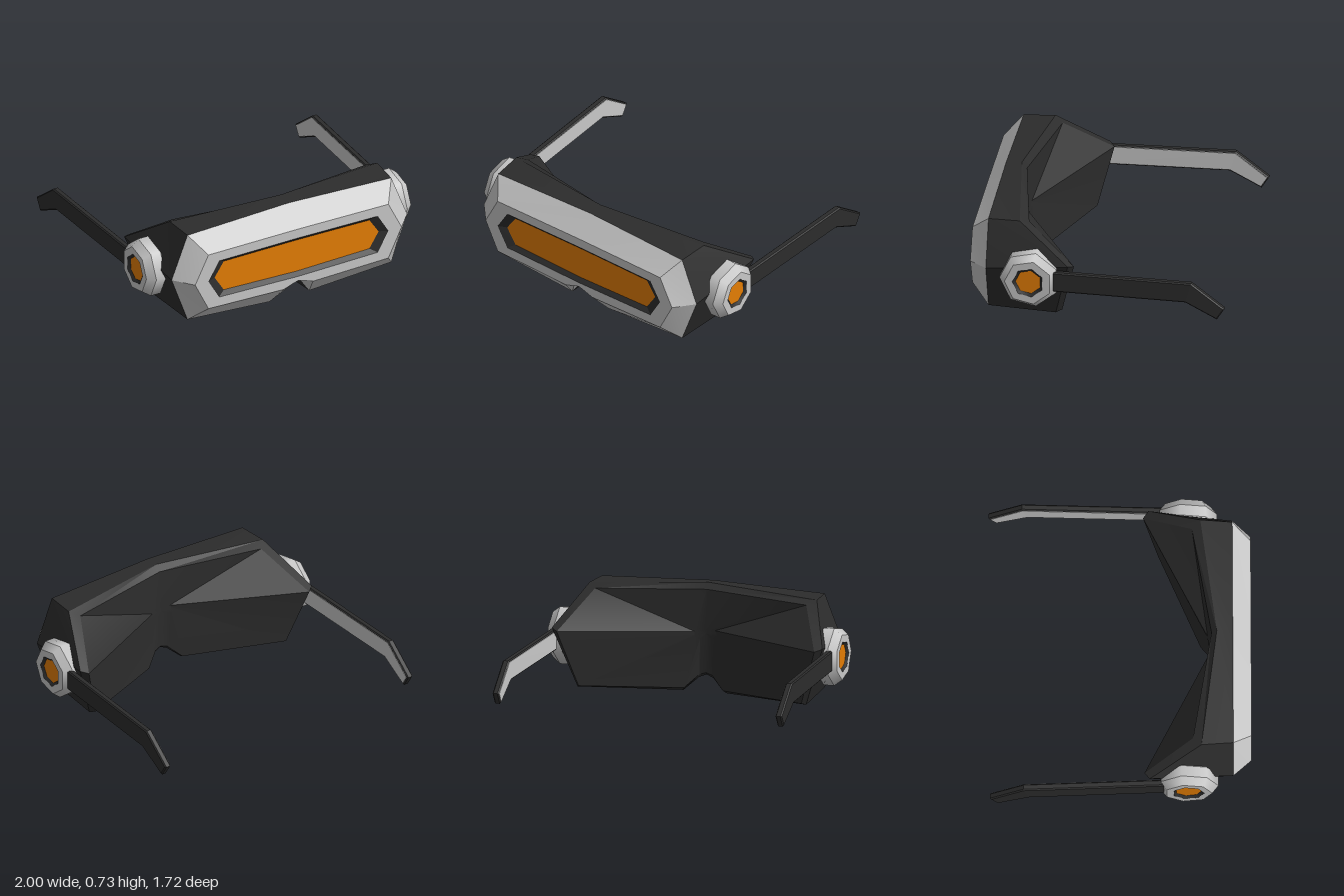
import * as THREE from 'three';
import { toCreasedNormals } from 'three/addons/utils/BufferGeometryUtils.js';

const grey = new THREE.MeshStandardMaterial({ color: 0xc8c8c8 });
grey.name = 'light grey';
const dark = new THREE.MeshStandardMaterial({ color: 0x2c2c2c });
dark.name = 'charcoal';
const orange = new THREE.MeshStandardMaterial({ color: 0xe47d04 });
orange.name = 'amber';

// Mirror a half outline (top centre, round +x, to bottom centre) into a full loop
const mirror = (half) => [
  ...half,
  ...half.slice(1, -1).reverse().map(([x, y, z]) => [-x, y, z]),
];
const atZ = (pts, z) => pts.map(([x, y]) => [x, y, z]);

// Skin through loops ordered front to back, optionally closed by a fan to one point
function loft(loops, tip) {
  const pos = [];
  const n = loops[0].length;
  for (let k = 0; k < loops.length - 1; k++) {
    const a = loops[k], b = loops[k + 1];
    for (let i = 0; i < n; i++) {
      const j = (i + 1) % n;
      pos.push(...a[i], ...a[j], ...b[j], ...a[i], ...b[j], ...b[i]);
    }
  }
  if (tip) {
    const e = loops[loops.length - 1];
    for (let i = 0; i < n; i++) pos.push(...e[i], ...e[(i + 1) % n], ...tip);
  }
  const g = new THREE.BufferGeometry();
  g.setAttribute('position', new THREE.Float32BufferAttribute(pos, 3));
  return toCreasedNormals(g, 0.3);
}

const vecs = (pts) => pts.map(([x, y]) => new THREE.Vector2(x, y));

// Flat plate facing +z
function plate(loop, z, hole) {
  const s = new THREE.Shape(vecs(loop));
  if (hole) s.holes.push(new THREE.Path(vecs(hole)));
  return new THREE.ShapeGeometry(s).translate(0, 0, z);
}

function add(parent, name, geo, mat) {
  const m = new THREE.Mesh(geo, mat);
  m.name = name;
  parent.add(m);
}

// Seven-sided band turned about y, smooth around and sharp at its edges
const band = (from, to) => new THREE.LatheGeometry(vecs([from, to]), 7);

// Side profile of an arm as [z, y], extruded in x and leaning outward to the rear
const armProfile = [[0.295, 0.28], [-0.6, 0.28], [-0.81, 0.17], [-0.86, 0.25], [-0.64, 0.42], [0.295, 0.42]];
function armGeometry(side, inner, thick, bevel, inset) {
  const shape = new THREE.Shape(vecs(armProfile.map(([z, y]) => [-z, y])));
  const g = new THREE.ExtrudeGeometry(shape, {
    depth: thick - 2 * bevel, bevelThickness: bevel, bevelSize: bevel, bevelOffset: -inset, bevelSegments: 1,
  });
  g.translate(0, 0, bevel).rotateY(Math.PI / 2);
  const p = g.attributes.position;
  for (let i = 0; i < p.count; i++) {
    const base = inner + 0.028 * Math.min(1, (0.295 - p.getZ(i)) / 0.89);
    p.setX(i, p.getX(i) + (side > 0 ? base : -base - thick));
  }
  g.computeVertexNormals();
  return g;
}

export function createModel() {
  const model = new THREE.Group();
  model.name = 'visor';

  // Outlines of the front cover
  const face = mirror([[0, 0.575], [0.68, 0.57], [0.78, 0.37], [0.68, 0.165], [0.11, 0.15], [0.04, 0.175], [0, 0.187]]);
  const rim = mirror([[0, 0.715], [0.77, 0.685], [0.89, 0.38], [0.77, 0.05], [0.15, 0.01], [0.045, 0.165], [0, 0.185]]);
  const slot = mirror([[0, 0.508], [0.6, 0.503], [0.68, 0.37], [0.6, 0.23], [0, 0.218]]);
  const lens = mirror([[0, 0.48], [0.55, 0.475], [0.62, 0.37], [0.55, 0.26], [0, 0.245]]);

  // Front cover with sunken lens
  const cover = new THREE.Group();
  cover.name = 'frontCover';
  add(cover, 'coverFace', plate(face, 0.86, slot), grey);
  add(cover, 'coverBevel', loft([atZ(face, 0.86), atZ(rim, 0.74)]), grey);
  add(cover, 'lensFrame', loft([atZ(lens, 0.835), atZ(slot, 0.86)]), dark);
  add(cover, 'lens', plate(lens, 0.835), orange);
  model.add(cover);

  // Dark shell: cover rim, swept rear edge, bevel, faceted back and narrow nose bridge
  const rearEdge = mirror([
    [0, 0.725, 0.635], [0.785, 0.69, 0.53], [0.935, 0.45, 0.19], [0.79, 0.04, 0.29],
    [0.15, 0, 0.57], [0.05, 0.09, 0.59], [0, 0.11, 0.6],
  ]);
  const backEdge = mirror([
    [0, 0.685, 0.6], [0.73, 0.665, 0.475], [0.89, 0.435, 0.155], [0.77, 0.055, 0.25],
    [0.135, 0.025, 0.53], [0.045, 0.11, 0.58], [0, 0.125, 0.585],
  ]);
  const bridge = mirror([
    [0, 0.42, 0.586], [0.065, 0.415, 0.578], [0.075, 0.4, 0.575], [0.075, 0.38, 0.573],
    [0.07, 0.36, 0.575], [0.04, 0.35, 0.582], [0, 0.35, 0.585],
  ]);
  add(model, 'shell', loft([atZ(rim, 0.74), rearEdge, backEdge, bridge], [0, 0.39, 0.585]), dark);

  // Hinge hubs and arms on both sides
  for (const side of [1, -1]) {
    const label = side > 0 ? 'left' : 'right';
    const hub = new THREE.Group();
    hub.name = label + 'Hub';
    add(hub, 'hubBase', band([0.15, 0.84], [0.198, 0.875]), grey);
    add(hub, 'hubSide', band([0.198, 0.875], [0.198, 0.948]), grey);
    add(hub, 'hubChamfer', band([0.198, 0.948], [0.157, 1]), grey);
    add(hub, 'hubFace', band([0.157, 1], [0.105, 1]), grey);
    add(hub, 'hubRecess', band([0.105, 1], [0.085, 0.985]), dark);
    add(hub, 'hubLens', band([0.085, 0.985], [0, 0.985]), orange);
    hub.rotation.z = -side * Math.PI / 2;
    hub.position.set(0, 0.348, 0.443);
    model.add(hub);

    const arm = new THREE.Group();
    arm.name = label + 'Arm';
    add(arm, 'armBar', armGeometry(side, 0.928, 0.044, 0.008, 0.008), dark);
    add(arm, 'armLining', armGeometry(side, 0.926, 0.004, 0.001, 0.01), grey);
    model.add(arm);
  }
  return model;
}
